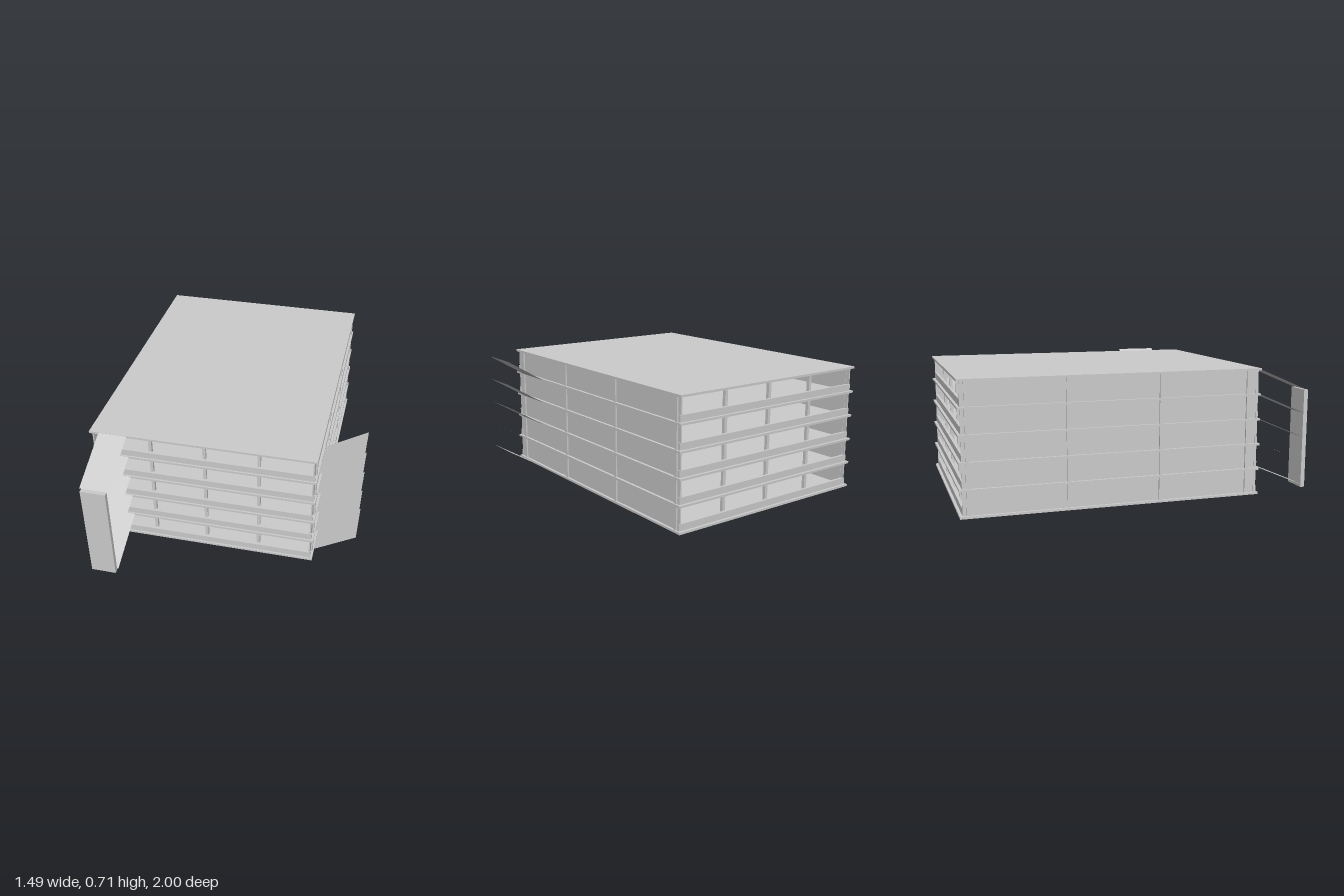
import * as THREE from 'three';

export function createModel() {
  const model = new THREE.Group();
  const concrete = new THREE.MeshStandardMaterial({ color: 0xcccccc, side: THREE.DoubleSide });
  concrete.name = 'concrete';

  const STOREY = 0.14, SLAB = 0.012;
  const X0 = -0.745, X1 = 0.515, Z0 = -1, Z1 = 0.665;

  // axis-aligned box given by its two extreme corners
  function box(name, x0, x1, y0, y1, z0, z1) {
    const mesh = new THREE.Mesh(new THREE.BoxGeometry(x1 - x0, y1 - y0, z1 - z0), concrete);
    mesh.position.set((x0 + x1) / 2, (y0 + y1) / 2, (z0 + z1) / 2);
    mesh.name = name;
    model.add(mesh);
  }

  // thin sloping sheet through four corners, counter-clockwise from above
  function sheet(name, a, b, c, d) {
    const geometry = new THREE.BufferGeometry();
    geometry.setAttribute('position', new THREE.Float32BufferAttribute([...a, ...b, ...c, ...d], 3));
    geometry.setIndex([0, 1, 2, 0, 2, 3]);
    geometry.computeVertexNormals();
    const mesh = new THREE.Mesh(geometry, concrete);
    mesh.name = name;
    model.add(mesh);
  }

  // floor slabs and roof
  for (let i = 0; i <= 5; i++) {
    const y = i * STOREY;
    box(i === 5 ? 'roof' : 'floorSlab', X0, X1, y, y + SLAB, Z0, Z1);
  }

  const columnX = [-0.73, -0.425, -0.117, 0.19, 0.5];
  const columnZ = [0.592, 0.082, -0.43, -0.955];

  for (let i = 0; i < 5; i++) {
    const floor = i * STOREY + SLAB, ceiling = (i + 1) * STOREY;

    // column grid
    for (const x of columnX)
      for (const z of columnZ)
        box('column', x - 0.009, x + 0.009, floor, ceiling, z - 0.009, z + 0.009);

    // closed long sides
    box('leftWall', 0.493, 0.5, floor, ceiling, -0.985, 0.655);
    box('rightWall', -0.73, -0.723, floor, ceiling, -0.985, 0.655);

    // low parapets on the open short sides
    box('frontParapet', -0.735, 0.505, floor, floor + 0.037, 0.64, 0.655);
    box('backParapet', -0.735, 0.505, floor, floor + 0.037, -0.985, -0.97);

    // front ramps falling towards the end wall
    const high = ceiling + SLAB - 0.002, low = i * STOREY + 0.016;
    sheet('frontRamp', [-0.69, low, 0.98], [-0.53, low, 0.98], [-0.53, high, Z1], [-0.69, high, Z1]);

    // side ramps rising away from the building
    const foot = i * STOREY + 0.006, top = ceiling + 0.004;
    sheet('sideRamp', [X1, foot, 0.575], [0.745, top, 0.575], [0.745, top, 0.33], [X1, foot, 0.33]);
  }

  // wall closing the ends of the front ramps
  box('rampEndWall', -0.68, -0.54, 0, 0.572, 0.975, 1);

  return model;
}
